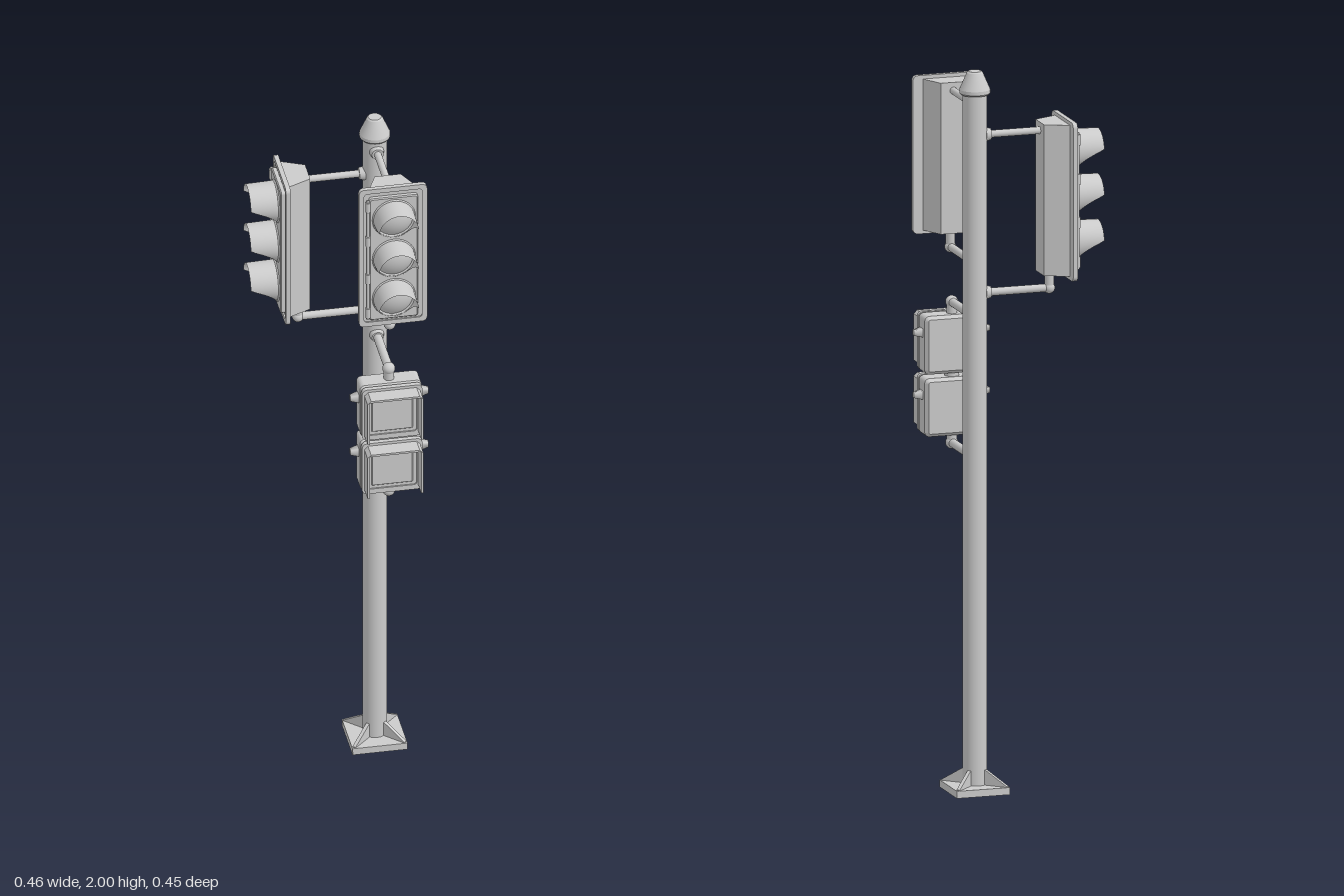
import * as THREE from 'three';

const grey = new THREE.MeshStandardMaterial({ color: 0xcccccc });
const thin = new THREE.MeshStandardMaterial({ color: 0xcccccc, side: THREE.DoubleSide });

function add(parent, name, geometry, x = 0, y = 0, z = 0, material = grey) {
  const mesh = new THREE.Mesh(geometry, material);
  mesh.name = name;
  mesh.position.set(x, y, z);
  parent.add(mesh);
  return mesh;
}

// Cylinder along z, starting at the origin
function rodZ(r0, r1, length, sides = 20) {
  return new THREE.CylinderGeometry(r1, r0, length, sides).rotateX(Math.PI / 2).translate(0, 0, length / 2);
}

function roundedRect(hw, hh, r, target = new THREE.Shape()) {
  const p = target;
  p.moveTo(-hw + r, -hh).lineTo(hw - r, -hh);
  p.absarc(hw - r, -hh + r, r, -Math.PI / 2, 0);
  p.absarc(hw - r, hh - r, r, 0, Math.PI / 2);
  p.absarc(-hw + r, hh - r, r, Math.PI / 2, Math.PI);
  p.absarc(-hw + r, -hh + r, r, Math.PI, Math.PI * 1.5);
  return p;
}

function extrude(shape, depth, bevel = 0) {
  return new THREE.ExtrudeGeometry(shape, {
    depth: depth - 2 * bevel, bevelEnabled: bevel > 0, bevelSize: bevel,
    bevelThickness: bevel, bevelOffset: -bevel, bevelSegments: 1, curveSegments: 6,
  }).translate(0, 0, bevel);
}

function frame(hw, hh, r, border, depth) {
  const s = roundedRect(hw, hh, r);
  s.holes.push(roundedRect(hw - border, hh - border, r * 0.6, new THREE.Path()));
  return extrude(s, depth);
}

// Tunnel visor whose lower half sweeps back to the door
function visorGeometry() {
  const g = new THREE.PlaneGeometry(1, 1, 48, 4), p = g.attributes.position;
  for (let i = 0; i < p.count; i++) {
    const t = -p.getX(i) * Math.PI * 2, v = p.getY(i) + 0.5, c = Math.cos(t);
    const s = Math.min(1, (c + 1) / 1.1);
    const r = 0.057 - 0.002 * v;
    p.setXYZ(i, r * Math.sin(t), r * c, v * (0.005 + 0.074 * s ** 2.2));
  }
  g.computeVertexNormals();
  return g;
}

// Horizontal arm from the pole, with an optional elbow turning up or down
function arm(parent, y, reach, r, turn = 0) {
  const g = new THREE.Group();
  g.name = 'mountingArm';
  g.position.y = y;
  parent.add(g);
  add(g, 'armTube', rodZ(r, r, reach - 0.028), 0, 0, 0.028);
  add(g, 'poleFlange', rodZ(0.02, 0.016, 0.016), 0, 0, 0.028);
  if (turn) {
    add(g, 'elbow', new THREE.SphereGeometry(r * 1.45, 20, 14), 0, 0, reach);
    add(g, 'elbowStub', new THREE.CylinderGeometry(r * 1.2, r * 1.2, 0.045, 20), 0, turn * 0.0225, reach);
  }
}

// Three-lens signal head facing +z, measured from the pole axis
function signalHead(parent, y) {
  const g = new THREE.Group();
  g.name = 'signalHead';
  parent.add(g);
  const head = new THREE.Group();
  head.name = 'signalHousing';
  head.position.y = y;
  g.add(head);

  const section = new THREE.Shape([[-0.067, -0.252], [0.067, -0.252], [0.036, -0.185], [-0.036, -0.185]]
    .map(([a, b]) => new THREE.Vector2(a, b)));
  add(head, 'taperedBody', extrude(section, 0.42).rotateX(-Math.PI / 2), 0, -0.21, 0);
  add(head, 'backplate', extrude(roundedRect(0.094, 0.22, 0.014), 0.009), 0, 0, 0.25);
  add(head, 'backplateRim', frame(0.094, 0.22, 0.014, 0.014, 0.006), 0, 0, 0.257);
  add(head, 'door', extrude(roundedRect(0.067, 0.195, 0.008), 0.016, 0.003), 0, 0, 0.257);

  add(head, 'hingeRod', new THREE.CylinderGeometry(0.004, 0.004, 0.38, 12), -0.071, 0, 0.271);
  for (const k of [-0.17, -0.06, 0.06, 0.17])
    add(head, 'hingeKnuckle', new THREE.CylinderGeometry(0.007, 0.007, 0.03, 14), -0.071, k, 0.271);

  const dome = new THREE.SphereGeometry(0.085, 32, 8, 0, Math.PI * 2, 0, 0.66)
    .rotateX(Math.PI / 2).translate(0, 0, -0.067);
  for (const k of [-0.127, 0, 0.127]) {
    add(head, 'lensRing', new THREE.TorusGeometry(0.056, 0.004, 8, 40), 0, k, 0.273);
    add(head, 'lens', dome, 0, k, 0.273);
    add(head, 'visor', visorGeometry(), 0, k, 0.273, thin);
  }

  arm(g, y + 0.187, 0.19, 0.01);
  arm(g, y - 0.252, 0.212, 0.011, 1);
  return g;
}

// Square pedestrian signal box with hood
function crossingBox(parent, y) {
  const g = new THREE.Group();
  g.name = 'crossingSignal';
  g.position.y = y;
  parent.add(g);
  add(g, 'boxBody', extrude(roundedRect(0.085, 0.081, 0.014), 0.068, 0.009), 0, 0, 0.167);
  add(g, 'boxDoor', extrude(roundedRect(0.078, 0.076, 0.01), 0.02), 0, 0, 0.226);
  add(g, 'doorFrame', frame(0.083, 0.081, 0.014, 0.015, 0.014), 0, 0, 0.236);
  add(g, 'screen', extrude(roundedRect(0.057, 0.056, 0.004), 0.006, 0.002), 0, 0, 0.244);

  // Hood: top and both sides, open below
  const w = 0.077, t = 0.006, top = 0.073, low = -0.066;
  const hood = new THREE.Shape([[-w, low], [-w + t, low], [-w + t, top - t], [w - t, top - t],
    [w - t, low], [w, low], [w, top - 0.01], [w - 0.01, top], [-w + 0.01, top], [-w, top - 0.01]]
    .map(([a, b]) => new THREE.Vector2(a, b)));
  add(g, 'hood', extrude(hood, 0.051), 0, 0, 0.245);

  // Tapered latch lugs on both sides
  for (const s of [-1, 1]) {
    const lug = new THREE.CylinderGeometry(0.01, 0.018, 0.026, 4).rotateY(Math.PI / 4).rotateZ(-s * Math.PI / 2);
    add(g, 'latchLug', lug, s * 0.095, 0.032, 0.204);
  }
}

export function createModel() {
  const model = new THREE.Group();
  model.name = 'trafficSignalPost';
  const post = new THREE.Group();
  post.name = 'post';
  post.position.set(0.121, 0, -0.129);
  model.add(post);

  // Pole and cap
  add(post, 'pole', new THREE.CylinderGeometry(0.033, 0.033, 1.936, 40), 0, 0.972, 0);
  const cap = [[0, 0], [0.039, 0], [0.042, 0.004], [0.042, 0.014], [0.022, 0.06], [0.018, 0.064], [0, 0.064]];
  for (let i = 0; i + 1 < cap.length; i++)
    add(post, 'poleCap', new THREE.LatheGeometry([cap[i], cap[i + 1]].map(([a, b]) => new THREE.Vector2(a, b)), 40), 0, 1.936, 0);

  // Base: plate over a hollow rim, with diagonal ribs
  add(post, 'baseRim', frame(0.076, 0.076, 0.002, 0.012, 0.014).rotateX(-Math.PI / 2));
  add(post, 'basePlate', new THREE.BoxGeometry(0.152, 0.01, 0.152), 0, 0.015, 0);
  const rib = new THREE.Shape([[0.02, 0.018], [0.1, 0.018], [0.1, 0.022], [0.034, 0.062], [0.02, 0.062]]
    .map(([a, b]) => new THREE.Vector2(a, b)));
  for (let i = 0; i < 4; i++)
    add(post, 'baseRib', extrude(rib, 0.01).translate(0, 0, -0.005)).rotation.y = Math.PI / 4 + i * Math.PI / 2;

  // Front head and the lower side head facing the model's right
  signalHead(post, 1.718);
  signalHead(post, 1.635).rotation.y = -Math.PI / 2;

  // Stacked crossing signals held between two arms
  crossingBox(post, 1.204);
  crossingBox(post, 1.031);
  add(post, 'boxCoupling', new THREE.CylinderGeometry(0.02, 0.02, 0.03, 20), 0, 1.1175, 0.2);
  arm(post, 1.316, 0.2, 0.012, -1);
  arm(post, 0.925, 0.2, 0.012, 1);
  return model;
}
